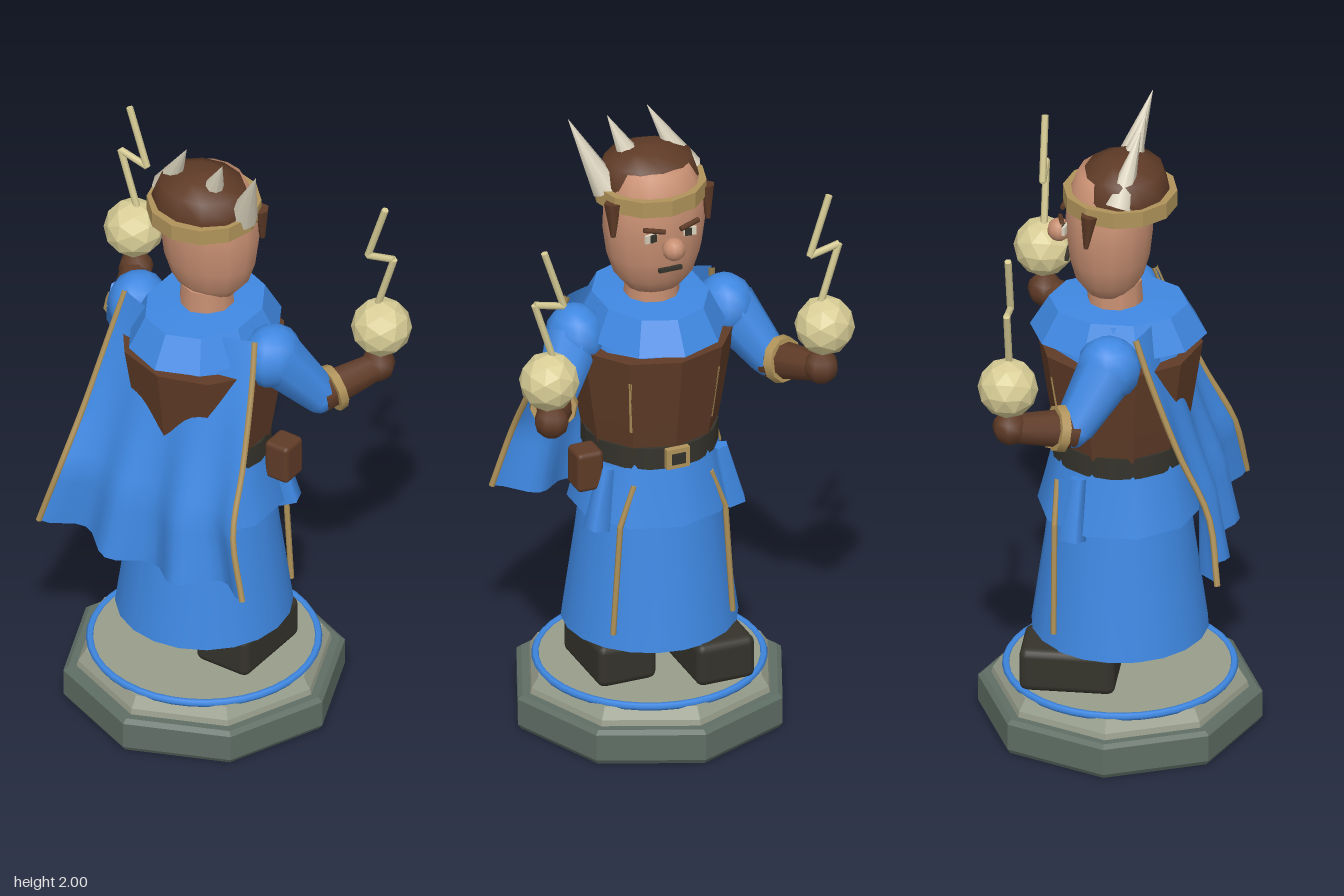
import * as THREE from 'three';
import { RoundedBoxGeometry } from 'three/addons/geometries/RoundedBoxGeometry.js';

const V = (a) => new THREE.Vector3(...a);

export function createModel() {
  const root = new THREE.Group();
  root.name = 'figurine';

  const paint = (name, color, side = THREE.FrontSide) => {
    const m = new THREE.MeshStandardMaterial({ color, side });
    m.name = name;
    return m;
  };
  const blue = paint('blueCloth', 0x3f88e2, THREE.DoubleSide);
  const brown = paint('brownLeather', 0x5f3b27);
  const gold = paint('dullGold', 0xb0935a);
  const cream = paint('paleYellow', 0xd8cd96);
  const bone = paint('bone', 0xd9d1bc);
  const skin = paint('skin', 0xc68e71);
  const dark = paint('blackLeather', 0x35332b);
  const stone = paint('darkStone', 0x5f6e65);
  const paleStone = paint('paleStone', 0x979d8b);

  const add = (name, geo, mat, pos = [0, 0, 0], scale = [1, 1, 1]) => {
    const m = new THREE.Mesh(geo, mat);
    m.name = name;
    m.position.set(...pos);
    m.scale.set(...scale);
    root.add(m);
    return m;
  };
  // Facets a geometry so its sides read as flat
  const facet = (geo) => {
    const g = geo.index ? geo.toNonIndexed() : geo;
    g.computeVertexNormals();
    return g;
  };
  const lathe = (pts, sides) => new THREE.LatheGeometry(pts.map((p) => new THREE.Vector2(...p)), sides);
  // Tapered rod between two points
  const rod = (name, a, b, r0, r1, mat, sides = 8) => {
    const p = V(a), q = V(b), d = q.clone().sub(p);
    const m = add(name, new THREE.CylinderGeometry(r1, r0, d.length(), sides), mat);
    m.position.copy(p).add(q).multiplyScalar(0.5);
    m.quaternion.setFromUnitVectors(new THREE.Vector3(0, 1, 0), d.normalize());
    return m;
  };
  const rods = (name, pts, r, mat) => {
    for (let i = 1; i < pts.length; i++) rod(name, pts[i - 1], pts[i], r, r, mat, 6);
  };

  // Pedestal
  add('pedestal', facet(lathe([[0, 0], [0.42, 0], [0.43, 0.015], [0.43, 0.1], [0.415, 0.112], [0, 0.112]], 8)), stone);
  add('pedestalStep', facet(lathe([[0.39, 0.11], [0.385, 0.13], [0.362, 0.165], [0, 0.165]], 8)), paleStone);
  add('pedestalTop', new THREE.CylinderGeometry(0.34, 0.34, 0.02, 32), paleStone, [0, 0.163, 0]);
  add('pedestalRing', new THREE.TorusGeometry(0.343, 0.012, 6, 40).rotateX(Math.PI / 2), blue, [0, 0.169, 0]);

  // Boots, one stepping forward, and legs
  for (const [x, z] of [[0.14, -0.025], [-0.135, -0.135]]) {
    add('boot', new RoundedBoxGeometry(0.19, 0.14, 0.29, 2, 0.025), dark, [x, 0.243, z]);
    add('leg', new THREE.CylinderGeometry(0.06, 0.05, 0.4, 8), brown, [x * 0.95, 0.46, 0]);
  }

  // Robe, overskirt, vest and belt
  add('robe', lathe([[0.268, 0.31], [0.228, 0.6], [0.19, 0.93]], 20), blue);
  add('overskirt', lathe([[0.25, 0.72], [0.225, 0.82], [0.2, 0.93]], 10), blue);
  add('vest', facet(lathe([[0.195, 0.93], [0.215, 1.05], [0.25, 1.28], [0, 1.285]], 10)), brown, [0, 0, 0], [1.03, 1, 1]);
  add('belt', new THREE.CylinderGeometry(0.207, 0.207, 0.07, 16), dark, [0, 0.937, 0]);
  add('buckle', new THREE.BoxGeometry(0.075, 0.065, 0.02), gold, [0, 0.94, -0.212]);
  add('buckleCentre', new THREE.BoxGeometry(0.045, 0.036, 0.006), dark, [0, 0.94, -0.223]);
  add('pouch', new RoundedBoxGeometry(0.085, 0.13, 0.09, 2, 0.015), brown, [0.24, 0.89, -0.072]);
  add('shirt', new THREE.CylinderGeometry(0.17, 0.22, 0.15, 12), blue, [0, 1.325, 0]);
  add('collar', facet(lathe([[0.268, 1.31], [0.21, 1.408], [0.08, 1.415]], 10)), blue, [0, 0, -0.005], [0.82, 1, 1]);

  // Cape: a grid of folds that deepen toward the hem
  const spineY = [1.4, 1.28, 1.04, 0.85, 0.65];
  const midZ = [0.13, 0.155, 0.225, 0.285, 0.31];
  const edgeZ = [0.075, 0.115, 0.205, 0.285, 0.3];
  const halfX = [0.235, 0.255, 0.288, 0.315, 0.37];
  const capePoint = (u, v) => {
    const t = v * 4, i = Math.min(3, Math.floor(t)), f = t - i;
    const at = (a) => THREE.MathUtils.lerp(a[i], a[i + 1], f);
    const z = THREE.MathUtils.lerp(at(midZ), at(edgeZ), u * u) - 0.038 * v * v * Math.cos(3 * Math.PI * u);
    return [at(halfX) * u, at(spineY) - 0.05 * v * v * (1 - Math.abs(u)), z];
  };
  const cape = new THREE.PlaneGeometry(2, 1, 24, 16);
  const cp = cape.attributes.position;
  for (let i = 0; i < cp.count; i++) cp.setXYZ(i, ...capePoint(cp.getX(i), 0.5 - cp.getY(i)));
  cape.computeVertexNormals();
  add('cape', cape, blue);

  // Head
  add('neck', new THREE.CylinderGeometry(0.08, 0.088, 0.12, 10), skin, [0, 1.42, -0.015]);
  add('head', lathe([[0, 1.445], [0.085, 1.452], [0.125, 1.5], [0.148, 1.57], [0.16, 1.66], [0.155, 1.76], [0.11, 1.85], [0, 1.87]], 14),
    skin, [0, 0, -0.033], [1, 1, 0.83]);
  add('hair', lathe([[0.15, 1.76], [0.158, 1.8], [0.135, 1.86], [0.07, 1.89], [0, 1.897]], 12), brown, [0, 0, 0.012], [1, 1, 0.87]);
  add('circlet', facet(lathe([[0.145, 1.74], [0.173, 1.74], [0.173, 1.792], [0.145, 1.792]], 12)), gold);
  add('nose', new THREE.SphereGeometry(0.036, 10, 8), skin, [0, 1.635, -0.185]);
  add('mouth', new THREE.BoxGeometry(0.075, 0.012, 0.012), dark, [0, 1.555, -0.158]);

  // Crown spikes, all leaning the same way
  for (const [a, b] of [
    [[-0.13, 1.79, 0.01], [-0.02, 2, 0.065]],
    [[0.035, 1.82, 0.02], [0.11, 1.99, 0.065]],
    [[0.14, 1.78, 0], [0.235, 2, 0.07]],
  ]) rod('crownSpike', a, b, 0.046, 0.001, bone, 8);

  // Mirrored parts
  for (const s of [-1, 1]) {
    add('eye', new THREE.BoxGeometry(0.048, 0.026, 0.009), bone, [s * 0.06, 1.672, -0.157]).rotation.y = s * 0.25;
    add('pupil', new THREE.BoxGeometry(0.02, 0.024, 0.006), dark, [s * 0.057, 1.672, -0.164]).rotation.y = s * 0.25;
    rod('brow', [s * 0.025, 1.695, -0.178], [s * 0.09, 1.708, -0.165], 0.008, 0.008, brown, 6);
    rod('sideburn', [s * 0.152, 1.77, -0.075], [s * 0.155, 1.66, -0.085], 0.028, 0.008, brown, 6);

    // Arms
    const elbow = [s * 0.35, 1.15, -0.1], wrist = [s * 0.437, 1.185, -0.27];
    add('shoulder', new THREE.SphereGeometry(0.1, 10, 8), blue, [s * 0.245, 1.305, -0.005], [0.9, 1, 1]);
    rod('sleeve', [s * 0.255, 1.3, -0.01], elbow, 0.09, 0.062, blue, 8);
    add('elbow', new THREE.SphereGeometry(0.06, 8, 6), blue, elbow);
    rod('forearm', elbow, wrist, 0.062, 0.045, brown, 8);
    rod('cuff', [s * 0.368, 1.157, -0.13], [s * 0.38, 1.162, -0.154], 0.074, 0.07, gold, 10);
    add('hand', new THREE.SphereGeometry(0.054, 8, 6), brown, [s * 0.44, 1.19, -0.28]);

    // Glowing orb and lightning bolt
    add('orb', facet(new THREE.IcosahedronGeometry(0.092, 1)), cream, [s * 0.45, 1.33, -0.285]);
    rods('bolt', [[0.435, 1.4], [0.497, 1.598], [0.402, 1.575], [0.465, 1.768]].map(([x, y]) => [s * x, y, -0.283]), 0.011, cream);

    // Gold trims and hanging sash ends
    const edge = [0, 0.25, 0.5, 0.75, 1].map((v) => V(capePoint(s, v)));
    add('capeTrim', new THREE.TubeGeometry(new THREE.CatmullRomCurve3(edge), 16, 0.01, 6), gold);
    rods('robeTrim', [[s * 0.125, 0.85, -0.175], [s * 0.172, 0.72, -0.178], [s * 0.195, 0.36, -0.178]], 0.009, gold);
    rods('vestTrim', [[s * 0.128, 1.03, -0.163], [s * 0.142, 1.21, -0.187]], 0.008, gold);
    rod('sashEnd', [s * 0.222, 0.7, -0.12], [s * 0.185, 0.89, -0.105], 0.044, 0.026, blue, 5);
  }
  return root;
}
